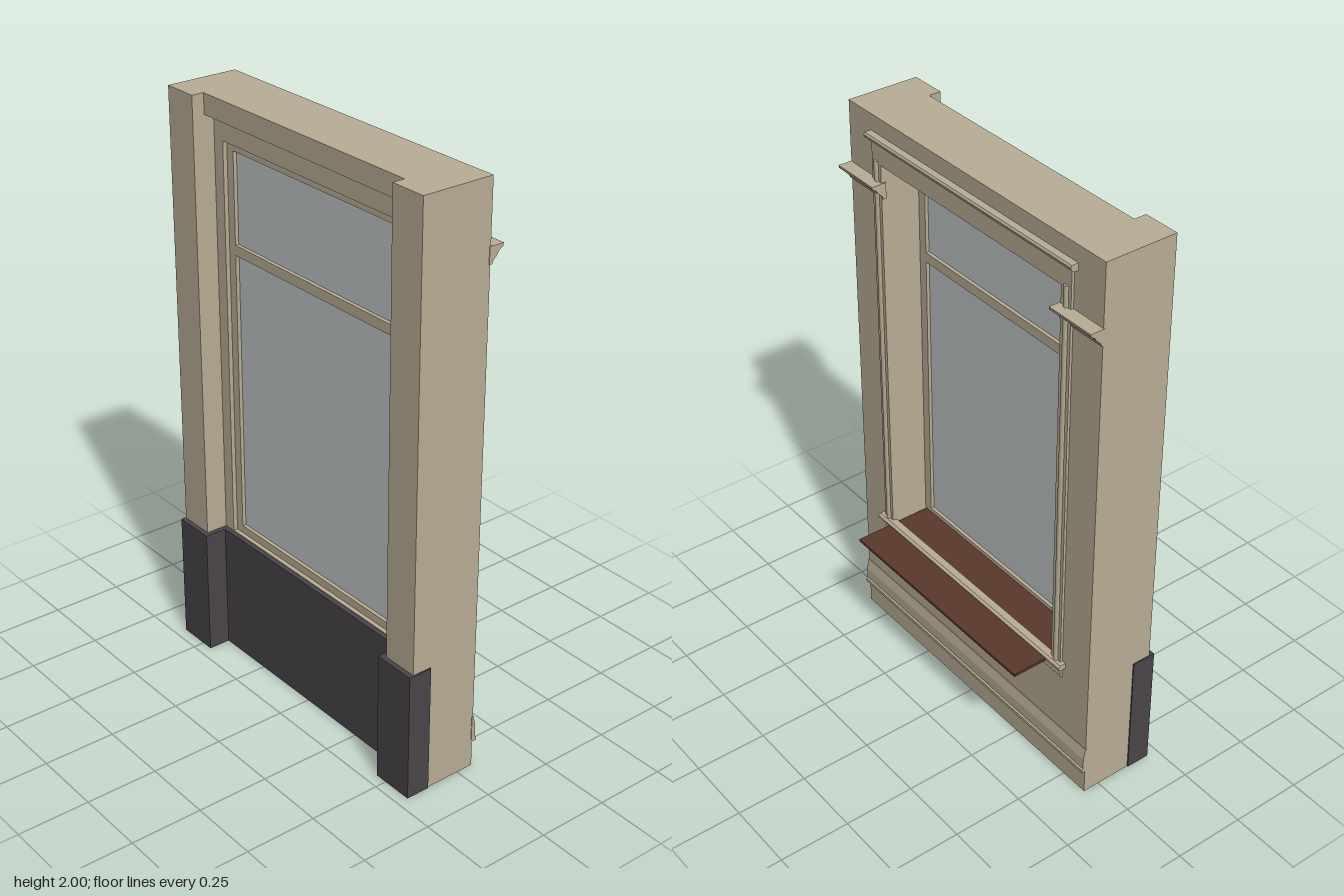
import * as THREE from 'three';

const material = (name, color) => {
  const m = new THREE.MeshStandardMaterial({ color });
  m.name = name;
  return m;
};

export function createModel() {
  const stone = material('sandstone', 0xbaae95);
  const plinth = material('dark plinth', 0x4a454a);
  const glassMat = material('pale glass', 0xc0c6c8);
  const wood = material('brown wood', 0x5a382c);
  const model = new THREE.Group();
  model.name = 'windowWallModule';

  const add = (name, geometry, mat) => {
    const mesh = new THREE.Mesh(geometry, mat);
    mesh.name = name;
    model.add(mesh);
    return mesh;
  };
  // Box given by its limits on each axis
  const box = (name, mat, x0, x1, y0, y1, z0, z1) => {
    const g = new THREE.BoxGeometry(Math.abs(x1 - x0), y1 - y0, z1 - z0);
    g.translate((x0 + x1) / 2, (y0 + y1) / 2, (z0 + z1) / 2);
    return add(name, g, mat);
  };
  // Moulding along x from a profile of [z, y] points
  const moulding = (name, points, x0, x1) => {
    const shape = new THREE.Shape(points.map(([z, y]) => new THREE.Vector2(-z, y)));
    const g = new THREE.ExtrudeGeometry(shape, { depth: x1 - x0, bevelEnabled: false });
    g.rotateY(Math.PI / 2);
    g.translate(x0, 0, 0);
    return add(name, g, stone);
  };
  const rect = (Type, x, y0, y1) => {
    const s = new Type();
    s.moveTo(-x, y0);
    s.lineTo(x, y0);
    s.lineTo(x, y1);
    s.lineTo(-x, y1);
    s.closePath();
    return s;
  };
  // Rectangular slab with one opening
  const holedSlab = (name, outer, inner, z0, z1) => {
    const shape = rect(THREE.Shape, ...outer);
    shape.holes.push(rect(THREE.Path, ...inner));
    const g = new THREE.ExtrudeGeometry(shape, { depth: z1 - z0, bevelEnabled: false });
    g.translate(0, 0, z0);
    return add(name, g, stone);
  };

  // Wall with window opening, and lintel over the front niche
  holedSlab('wall', [0.603, 0, 2], [0.43, 0.457, 1.85], -0.06, 0.115);
  box('lintel', stone, -0.475, 0.475, 1.93, 2, 0.115, 0.15);

  // Window: frame, transom and panes
  holedSlab('windowFrame', [0.43, 0.457, 1.85], [0.398, 0.485, 1.823], 0.07, 0.1);
  box('transom', stone, -0.398, 0.398, 1.475, 1.51, 0.07, 0.1);
  box('lowerPane', glassMat, -0.398, 0.398, 0.485, 1.475, 0.082, 0.087);
  box('upperPane', glassMat, -0.398, 0.398, 1.51, 1.823, 0.082, 0.087);

  // Front plinth
  box('centrePlinth', plinth, -0.475, 0.475, 0, 0.455, 0.112, 0.132);

  // Sill board running through the opening
  box('sillBoard', wood, -0.425, 0.425, 0.46, 0.47, -0.213, 0.07);

  // Cornice profile for the rear side pieces
  const cornice = [
    [-0.055, 1.735], [-0.066, 1.735], [-0.07, 1.746], [-0.082, 1.757],
    [-0.092, 1.772], [-0.105, 1.78], [-0.107, 1.79], [-0.055, 1.79],
  ];

  for (const s of [-1, 1]) {
    const side = s < 0 ? 'right' : 'left';
    // Pilaster and its wrapped plinth
    box(side + 'Pilaster', stone, s * 0.475, s * 0.603, 0, 2, 0.11, 0.193);
    box(side + 'PlinthFront', plinth, s * 0.457, s * 0.607, 0, 0.455, 0.193, 0.21);
    box(side + 'PlinthInner', plinth, s * 0.457, s * 0.475, 0, 0.455, 0.115, 0.193);
    box(side + 'PlinthOuter', plinth, s * 0.602, s * 0.607, 0, 0.455, 0.125, 0.193);
    // Rear casing with a round bead
    box(side + 'Casing', stone, s * 0.43, s * 0.475, 0.47, 1.925, -0.069, -0.055);
    const bead = new THREE.CylinderGeometry(0.011, 0.011, 1.39, 12);
    bead.translate(s * 0.453, 1.165, -0.066);
    add(side + 'CasingBead', bead, stone);
    moulding(side + 'Cornice', cornice, s < 0 ? -0.605 : 0.425, s < 0 ? -0.425 : 0.605);
  }

  // Rear head board, cap, sill roll and apron
  box('headBoard', stone, -0.475, 0.475, 1.85, 1.925, -0.069, -0.055);
  moulding('headCap', [
    [-0.055, 1.92], [-0.075, 1.92], [-0.085, 1.928], [-0.087, 1.937], [-0.083, 1.944], [-0.055, 1.944],
  ], -0.49, 0.49);
  moulding('sillRoll', [
    [-0.055, 0.458], [-0.08, 0.458], [-0.088, 0.465], [-0.088, 0.472], [-0.08, 0.479], [-0.055, 0.479],
  ], -0.49, 0.49);
  moulding('apron', [
    [-0.055, 0.408], [-0.062, 0.408], [-0.068, 0.42], [-0.068, 0.458], [-0.055, 0.458],
  ], -0.475, 0.475);

  // Rear base moulding
  moulding('baseMoulding', [
    [-0.055, 0.093], [-0.075, 0.093], [-0.075, 0.104], [-0.07, 0.11],
    [-0.07, 0.15], [-0.066, 0.17], [-0.062, 0.19], [-0.055, 0.19],
  ], -0.605, 0.605);

  return model;
}
